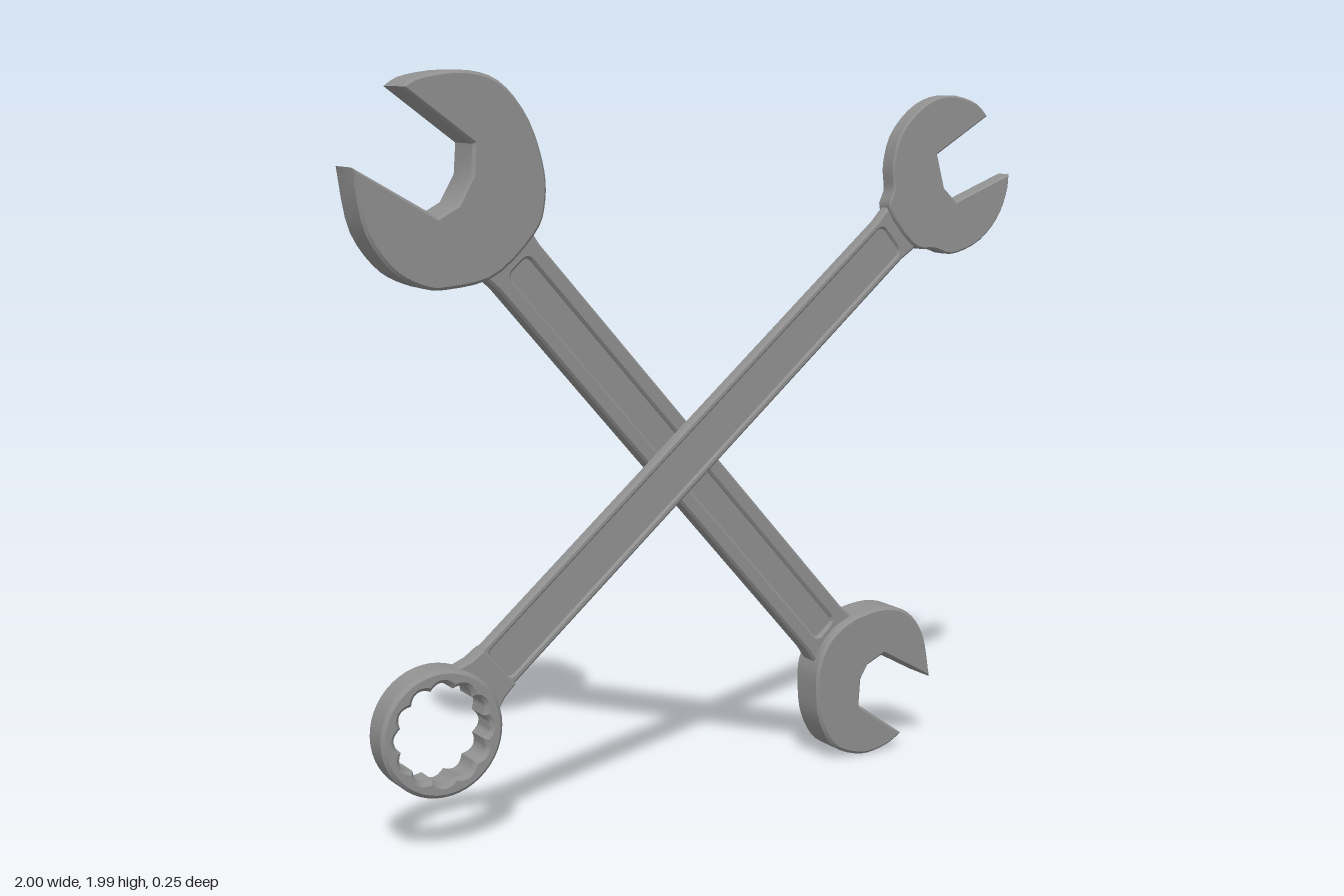
import * as THREE from 'three';
import { toCreasedNormals } from 'three/addons/utils/BufferGeometryUtils.js';

const material = new THREE.MeshStandardMaterial({ color: 0x909090 });
const V = (p) => new THREE.Vector2(p[0], p[1]);

// Bevelled plate of the given thickness, centred on z = 0
function plate(name, shape, thickness, bevel) {
  const geo = new THREE.ExtrudeGeometry(shape, {
    depth: thickness - 2 * bevel, bevelThickness: bevel, bevelSize: bevel,
    bevelOffset: -bevel, bevelSegments: 1, curveSegments: 24,
  });
  geo.translate(0, 0, bevel - thickness / 2);
  const mesh = new THREE.Mesh(toCreasedNormals(geo, 0.65), material);
  mesh.name = name;
  return mesh;
}

// Open jaw: smooth outer contour from tip to tip, then the mouth back to the start
function jaw(name, outer, mouth, thickness, bevel) {
  const contour = new THREE.SplineCurve(outer.map(V)).getPoints(48);
  return plate(name, new THREE.Shape([...contour, ...mouth.map(V)]), thickness, bevel);
}

// Shaft along +x from 0: a rim with a round-ended slot, and a thinner web inside it
function shaft(length, half, slotHalf, inset, thickness, web) {
  const group = new THREE.Group();
  group.name = 'shaft';
  const f = half + 0.005, L = length;
  const rim = new THREE.Shape([
    [-0.03, -f], [0.01, -f], [0.05, -half], [L - 0.05, -half], [L - 0.01, -f], [L + 0.03, -f],
    [L + 0.03, f], [L - 0.01, f], [L - 0.05, half], [0.05, half], [0.01, f], [-0.03, f],
  ].map(V));
  const a = inset, b = L - inset, h = slotHalf, r = 0.02;
  const slot = new THREE.Path();
  slot.moveTo(a + r, -h);
  slot.lineTo(b - r, -h);
  slot.quadraticCurveTo(b, -h, b, -h + r);
  slot.lineTo(b, h - r);
  slot.quadraticCurveTo(b, h, b - r, h);
  slot.lineTo(a + r, h);
  slot.quadraticCurveTo(a, h, a, h - r);
  slot.lineTo(a, -h + r);
  slot.quadraticCurveTo(a, -h, a + r, -h);
  rim.holes.push(slot);
  group.add(plate('shaftRim', rim, thickness, 0.007));
  const core = new THREE.Mesh(new THREE.BoxGeometry(b - a + 0.03, 2 * h + 0.02, web), material);
  core.name = 'shaftWeb';
  core.position.x = L / 2;
  group.add(core);
  return group;
}

function lay(object, from, to) {
  object.position.set(from[0], from[1], 0);
  object.rotation.z = Math.atan2(to[1] - from[1], to[0] - from[0]);
  return object;
}

function doubleOpenSpanner() {
  const inner = new THREE.Group();
  inner.add(jaw('largeJaw', [
    [-0.87, 1.95], [-0.82, 1.977], [-0.70, 1.992], [-0.60, 1.965], [-0.52, 1.875], [-0.475, 1.755],
    [-0.47, 1.66], [-0.50, 1.58], [-0.615, 1.475], [-0.75, 1.447], [-0.82, 1.455], [-0.90, 1.50],
    [-0.97, 1.60], [-1.0, 1.755],
  ], [[-0.775, 1.63], [-0.72, 1.66], [-0.68, 1.73], [-0.675, 1.81]], 0.115, 0.008));
  inner.add(jaw('smallJaw', [
    [0.735, 0.045], [0.68, 0.016], [0.59, 0.003], [0.49, 0.04], [0.435, 0.125], [0.42, 0.22],
    [0.425, 0.30], [0.465, 0.375], [0.545, 0.425], [0.66, 0.443], [0.75, 0.415], [0.81, 0.335],
    [0.838, 0.205],
  ], [[0.66, 0.30], [0.605, 0.275], [0.58, 0.235], [0.575, 0.155]], 0.11, 0.008));
  const from = [-0.567, 1.53], to = [0.492, 0.364];
  const length = Math.hypot(to[0] - from[0], to[1] - from[1]);
  inner.add(lay(shaft(length, 0.083, 0.037, 0.045, 0.06, 0.036), from, to));
  inner.position.set(0.04, -0.95, 0);

  // Leans slightly so the small end sits further back
  const spanner = new THREE.Group();
  spanner.name = 'doubleOpenSpanner';
  spanner.add(inner);
  spanner.position.set(-0.04, 0.95, -0.041);
  spanner.rotateOnAxis(new THREE.Vector3(0.74, 0.672, 0).normalize(), 0.025);
  return spanner;
}

function combinationSpanner() {
  const spanner = new THREE.Group();
  spanner.name = 'combinationSpanner';
  spanner.add(jaw('openJaw', [
    [0.915, 1.877], [0.87, 1.915], [0.775, 1.935], [0.685, 1.905], [0.61, 1.83], [0.583, 1.743],
    [0.587, 1.674], [0.575, 1.615], [0.66, 1.515], [0.733, 1.503], [0.797, 1.487], [0.893, 1.52],
    [0.963, 1.588], [0.995, 1.663], [1.0, 1.711],
  ], [[0.807, 1.636], [0.765, 1.674], [0.738, 1.77]], 0.056, 0.005));

  const from = [-0.685, 0.444], to = [0.62, 1.564];
  const length = Math.hypot(to[0] - from[0], to[1] - from[1]);
  spanner.add(lay(shaft(length, 0.07, 0.048, 0.045, 0.037, 0.025), from, to));

  // Ring with twelve scalloped notches
  const ring = new THREE.Shape().absarc(0, 0, 0.169, 0, 2 * Math.PI);
  const notches = [];
  for (let i = 0; i < 96; i++) {
    const t = (i / 96) * 2 * Math.PI;
    const r = 0.119 + 0.015 * Math.abs(Math.cos(6 * t));
    notches.push(new THREE.Vector2(r * Math.cos(t), r * Math.sin(t)));
  }
  ring.holes.push(new THREE.Path(notches));
  const ringMesh = plate('ring', ring, 0.09, 0.01);
  ringMesh.position.set(-0.822, 0.324, 0);
  spanner.add(ringMesh);

  // Neck flaring from the shaft onto the ring
  const neck = new THREE.Shape();
  const spread = Math.asin(0.092 / 0.155);
  neck.moveTo(0.045, -0.07);
  neck.lineTo(0.045, 0.07);
  neck.lineTo(0, 0.074);
  neck.lineTo(-0.18 + 0.155 * Math.cos(spread), 0.092);
  neck.absarc(-0.18, 0, 0.155, spread, -spread, true);
  neck.lineTo(0, -0.074);
  spanner.add(lay(plate('ringNeck', neck, 0.05, 0.006), from, to));

  spanner.position.z = 0.078;
  return spanner;
}

export function createModel() {
  const model = new THREE.Group();
  model.name = 'crossedSpanners';
  model.add(doubleOpenSpanner(), combinationSpanner());
  return model;
}
